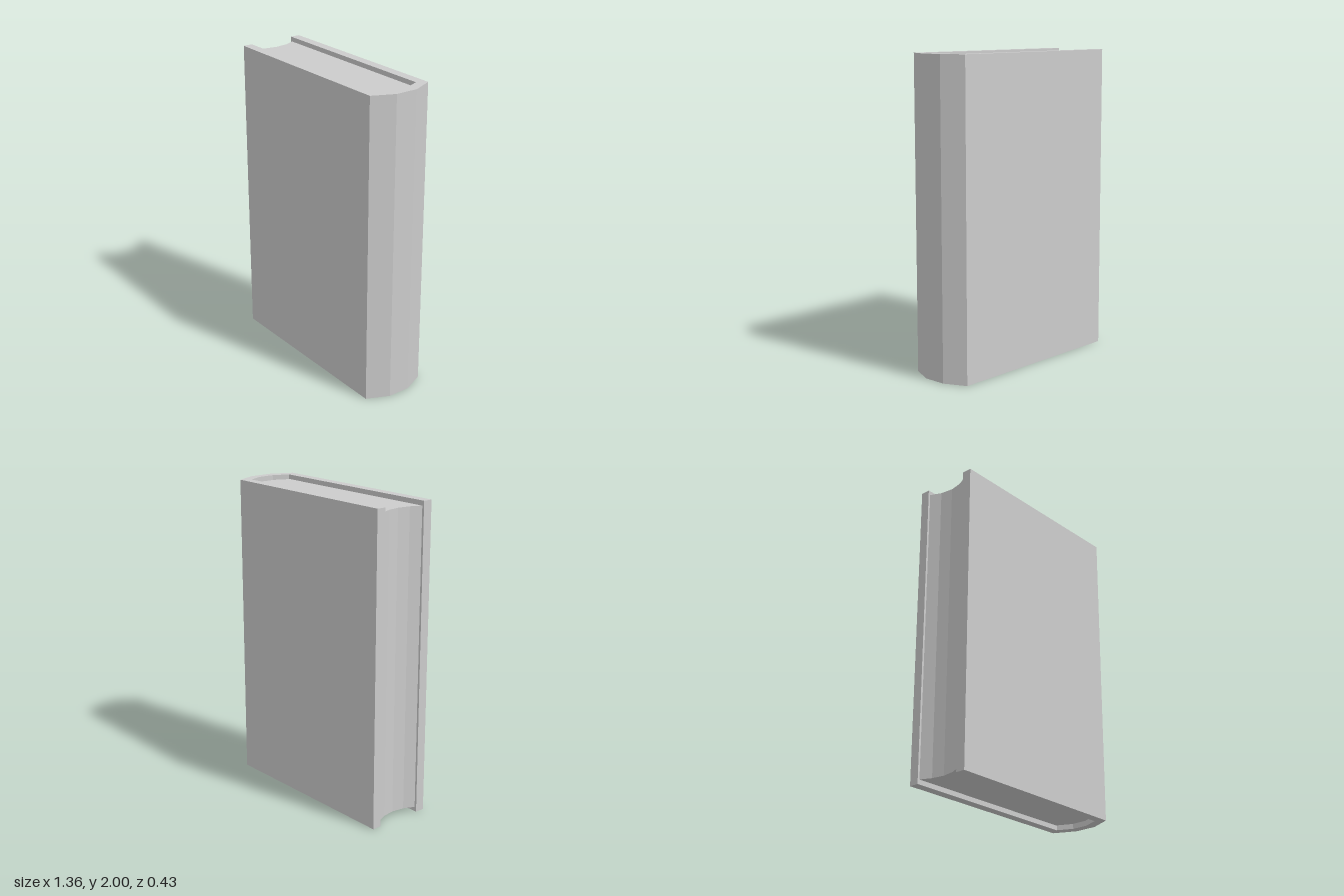
import * as THREE from 'three';

const HEIGHT = 2;
const RECESS = 0.03; // pages sit slightly inside the cover at top and bottom

// Extrudes an x/z outline upwards from y = bottom
function upright(name, outline, bottom, height, material) {
  const shape = new THREE.Shape(outline.map(([x, z]) => new THREE.Vector2(x, -z)));
  const geometry = new THREE.ExtrudeGeometry(shape, { depth: height, bevelEnabled: false });
  geometry.rotateX(-Math.PI / 2);
  const mesh = new THREE.Mesh(geometry, material);
  mesh.name = name;
  mesh.position.y = bottom;
  return mesh;
}

// Completes half an outline (z > 0) with its mirror image, in reverse order
const mirrored = (half) => [...half, ...half.map(([x, z]) => [x, -z]).reverse()];

export function createModel() {
  const book = new THREE.Group();
  book.name = 'book';
  const material = new THREE.MeshStandardMaterial({ color: 0xcccccc, flatShading: true });

  // Cover: two boards joined by a faceted spine, as one U-shaped outline
  const outer = mirrored([[-0.68, 0.217], [0.615, 0.217], [0.68, 0.074]]);
  const inner = mirrored([[-0.68, 0.155], [0.577, 0.155], [0.622, 0.054]]).reverse();
  book.add(upright('cover', [...outer, ...inner], 0, HEIGHT, material));

  // Page block: hollow fore edge, rounded back with a small gap to the spine
  const foreEdge = [[-0.667, -0.154], [-0.635, -0.083], [-0.622, 0], [-0.635, 0.083], [-0.667, 0.154]];
  const back = mirrored([[0.568, 0.154], [0.612, 0.052]]);
  book.add(upright('pages', [...foreEdge, ...back], RECESS, HEIGHT - 2 * RECESS, material));

  return book;
}
